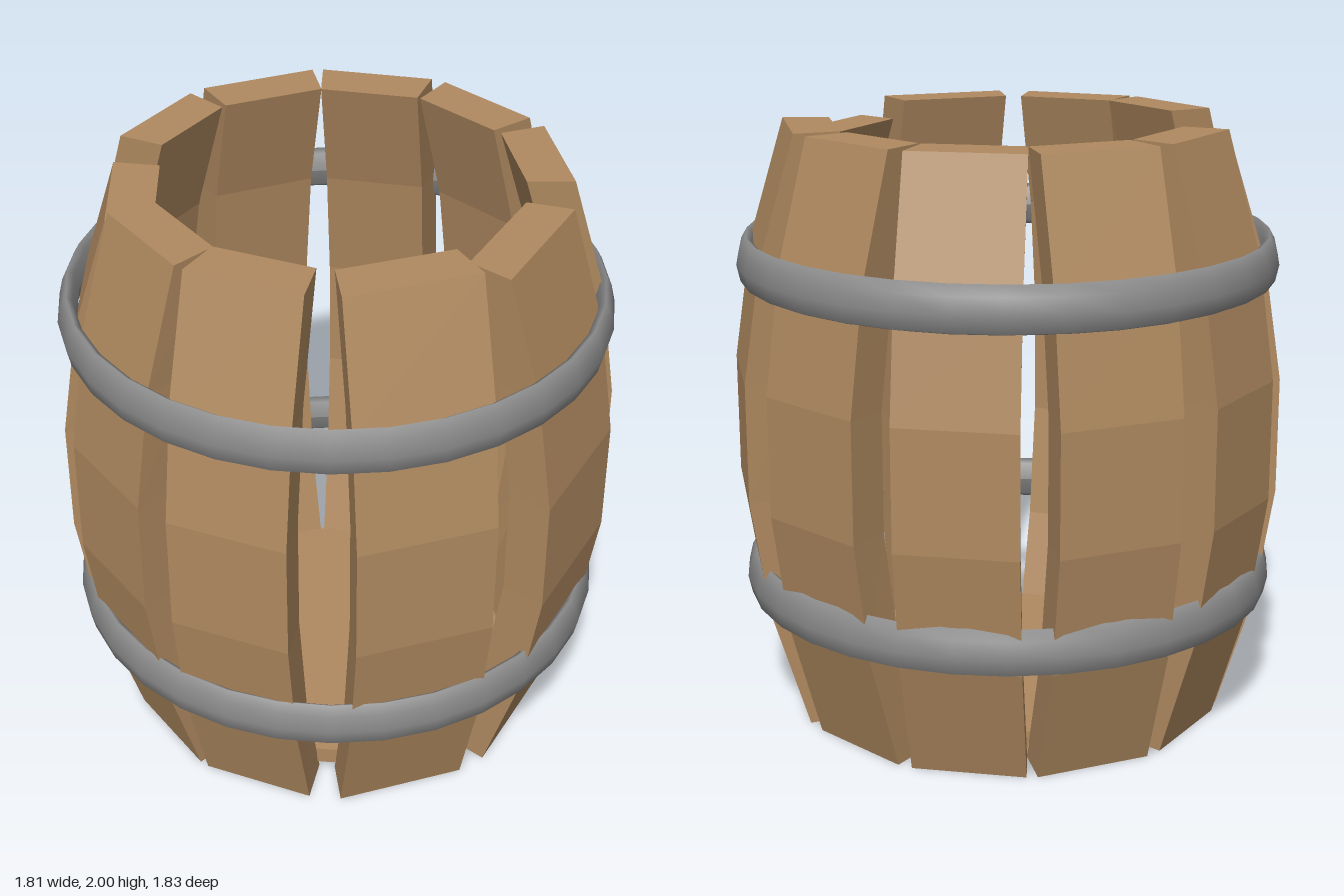
import * as THREE from 'three';

const wood = new THREE.MeshStandardMaterial({ color: 0xb08a60 });
wood.name = 'wood';
const iron = new THREE.MeshStandardMaterial({ color: 0x8a8a8a });
iron.name = 'iron';

// Each stave: angle in degrees from +x towards +z, width, height
const STAVES = [
  [0, 0.4, 2], [38.6, 0.5, 1.94], [81.8, 0.455, 2], [122, 0.4, 2], [154.5, 0.4, 2],
  [189, 0.4, 1.94], [224, 0.39, 2], [258.5, 0.41, 2], [291.5, 0.396, 2], [325, 0.394, 2],
];

// Bulging plank: narrower on the inside and slightly at both ends
function staveGeometry(width, height) {
  const box = new THREE.BoxGeometry(0.15, 2, width, 1, 5, 1);
  const p = box.attributes.position;
  for (let i = 0; i < p.count; i++) {
    const d = p.getY(i);
    const inner = p.getX(i) < 0;
    const outerRadius = 0.9 - 0.1875 * (d * d - 0.04);
    const taper = (inner ? 0.87 : 1) * (1 - 0.05 * d * d);
    p.setXYZ(i, outerRadius - (inner ? 0.15 : 0), (d + 1) * height / 2, p.getZ(i) * taper);
  }
  const flat = box.toNonIndexed();
  flat.computeVertexNormals();
  return flat;
}

export function createModel() {
  const model = new THREE.Group();
  model.name = 'barrel';

  // Ring of staves
  const staves = new THREE.Group();
  staves.name = 'staves';
  STAVES.forEach(([angle, width, height], i) => {
    const a = THREE.MathUtils.degToRad(angle);
    const stave = new THREE.Mesh(staveGeometry(width, height), wood);
    stave.name = `stave${i + 1}`;
    stave.rotation.y = -a;
    const pull = i === 0 ? 0 : -0.01;
    stave.position.set(Math.cos(a) * pull, 0, Math.sin(a) * pull);
    staves.add(stave);
  });
  model.add(staves);

  // Recessed floor
  const floor = new THREE.Mesh(new THREE.CylinderGeometry(0.61, 0.61, 0.06, 32), wood);
  floor.name = 'floor';
  floor.position.y = 0.07;
  model.add(floor);

  // Iron hoops with a rounded section
  const section = [[0.835, 0], [0.85, -0.06], [0.87, -0.077], [0.888, -0.07], [0.9, -0.015],
    [0.887, 0.04], [0.868, 0.075], [0.848, 0.06], [0.835, 0]].map(([r, y]) => new THREE.Vector2(r, y));
  [['lowerHoop', 0.485], ['upperHoop', 1.565]].forEach(([name, y]) => {
    const hoop = new THREE.Mesh(new THREE.LatheGeometry(section, 32), iron);
    hoop.name = name;
    hoop.position.set(0, y, 0.01);
    model.add(hoop);
  });

  return model;
}
